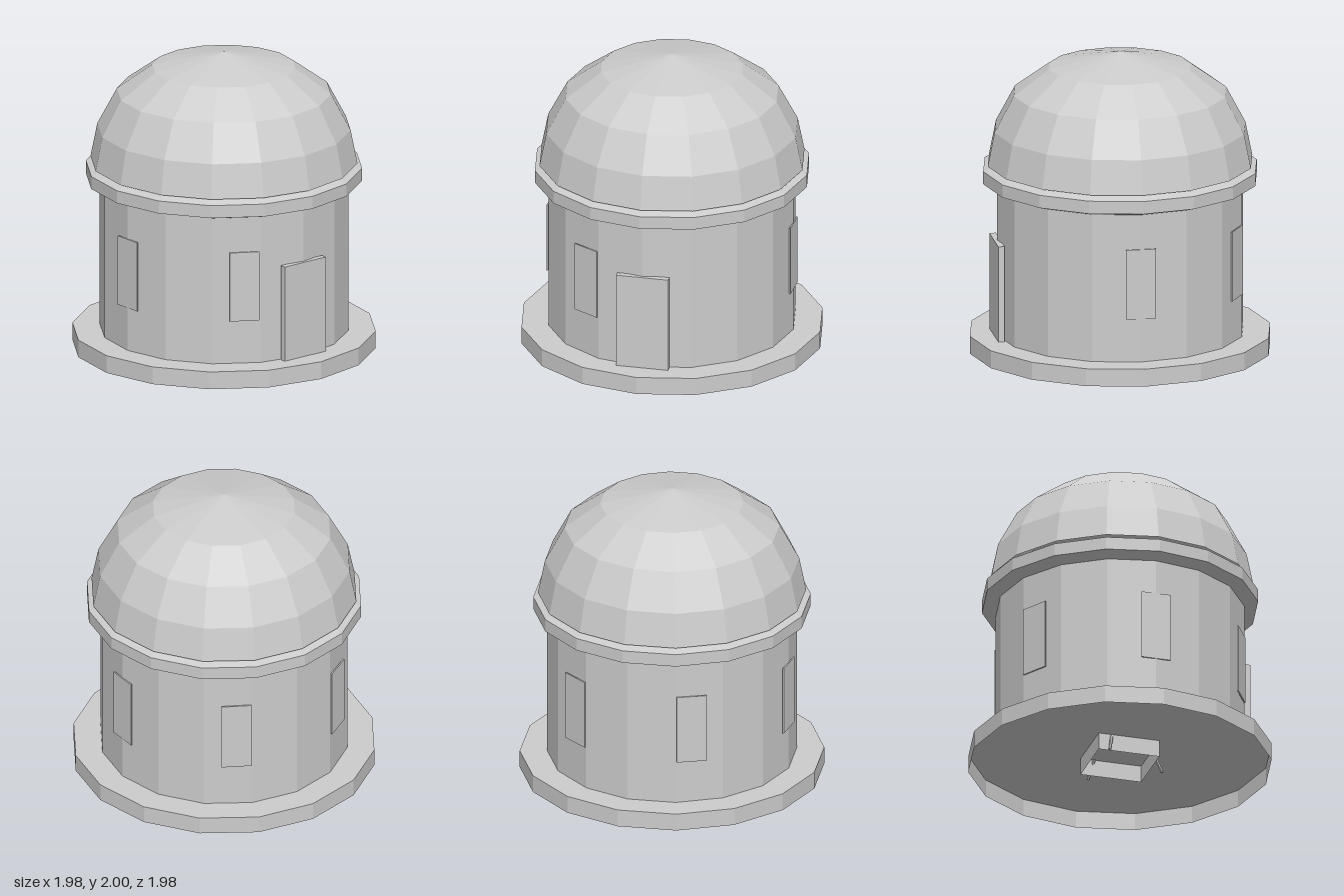
import * as THREE from 'three';

const SIDES = 16;

export function createModel() {
  const group = new THREE.Group();
  group.name = 'observatory';
  const stone = new THREE.MeshStandardMaterial({ color: 0xcccccc, flatShading: true, side: THREE.DoubleSide });
  stone.name = 'pale grey';

  const add = (name, geometry, parent = group) => {
    const mesh = new THREE.Mesh(geometry, stone);
    mesh.name = name;
    parent.add(mesh);
    return mesh;
  };
  // Sixteen-sided shell from a [radius, height] profile, bottom to top
  const turned = (name, profile) =>
    add(name, new THREE.LatheGeometry(profile.map(([r, y]) => new THREE.Vector2(r, y)), SIDES));

  // Stepped base, open underneath
  turned('base', [[0.988, 0.013], [0.988, 0.13], [0, 0.13]]);
  turned('wall', [[0.81, 0.13], [0.81, 1.13]]);
  turned('domeRing', [[0.81, 1.119], [0.9, 1.148], [0.9, 1.233], [0.81, 1.262]]);
  turned('dome', [[0.87, 1.265], [0.825, 1.49], [0.698, 1.73], [0.466, 1.9], [0, 2]]);

  // Door slab on the front
  add('door', new THREE.BoxGeometry(0.346, 0.64, 0.042)).position.set(0, 0.45, 0.809);

  // Thin windows every sixty degrees, measured from +x towards +z
  for (const degrees of [0, 120, 180, 240, 300]) {
    const a = THREE.MathUtils.degToRad(degrees);
    const pane = add('window', new THREE.BoxGeometry(0.196, 0.466, 0.009));
    pane.position.set(Math.cos(a) * 0.8085, 0.653, Math.sin(a) * 0.8085);
    pane.rotation.y = Math.PI / 2 - a;
  }

  // Square pier under the floor: four walls, open at the bottom
  const pier = new THREE.Group();
  pier.name = 'pier';
  group.add(pier);
  for (let i = 0; i < 4; i++) {
    const a = i * Math.PI / 2;
    const side = add('pierWall', new THREE.PlaneGeometry(0.41, 0.114), pier);
    side.position.set(Math.sin(a) * 0.205, 0.073, Math.cos(a) * 0.205);
    side.rotation.y = a;
  }

  // Tripod whose feet reach the ground through the floor
  const apex = new THREE.Vector3(0, 0.65, 0);
  for (let i = 0; i < 3; i++) {
    const a = i * Math.PI * 2 / 3;
    const foot = new THREE.Vector3(Math.sin(a) * 0.285, 0.004, Math.cos(a) * 0.285);
    const along = apex.clone().sub(foot);
    const leg = add('tripodLeg', new THREE.CylinderGeometry(0.01, 0.01, along.length(), 6));
    leg.position.copy(foot).addScaledVector(along, 0.5);
    leg.quaternion.setFromUnitVectors(new THREE.Vector3(0, 1, 0), along.normalize());
  }
  return group;
}
